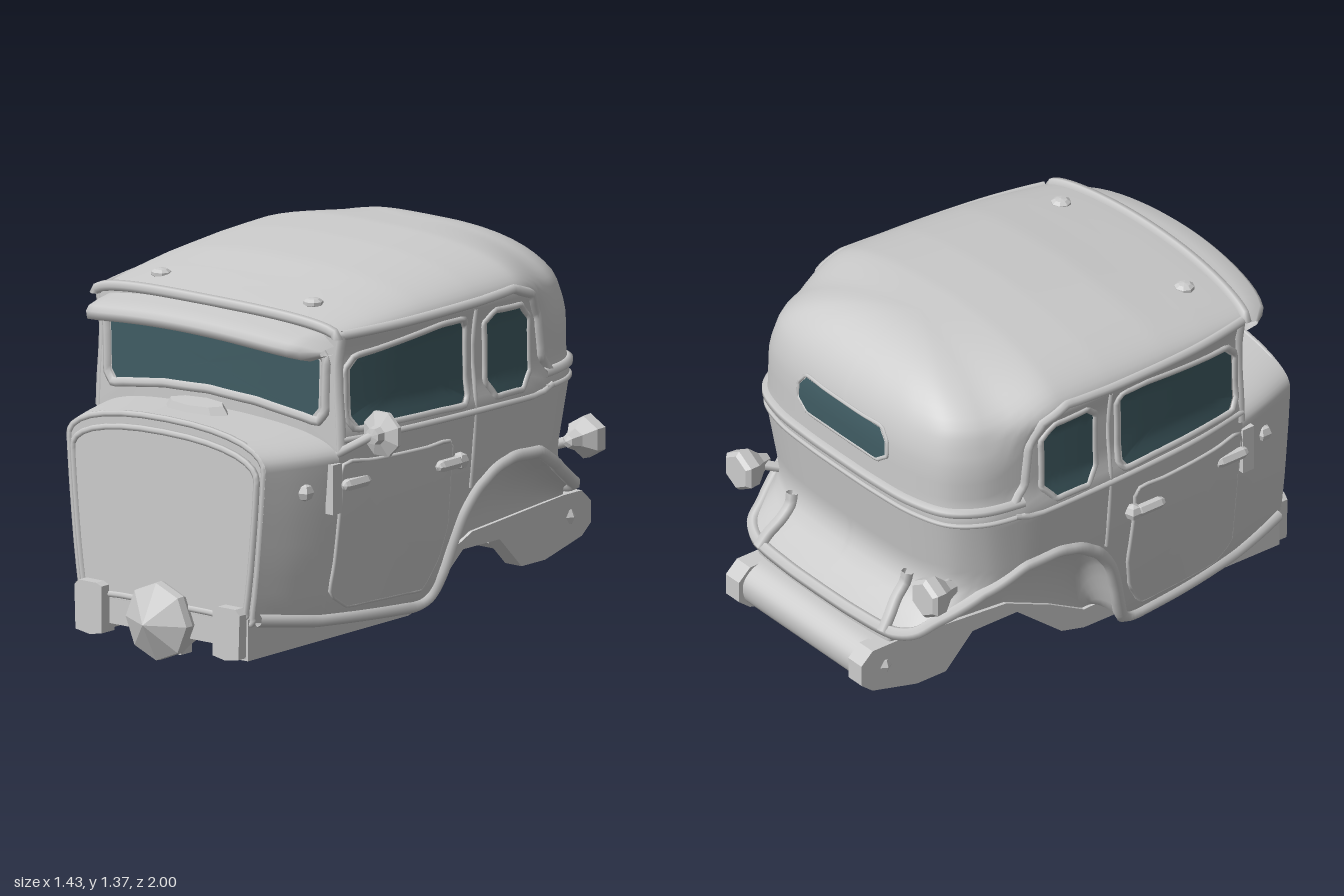
import * as THREE from 'three';
import { mergeGeometries, mergeVertices } from 'three/addons/utils/BufferGeometryUtils.js';

const V = (x, y, z) => new THREE.Vector3(x, y, z);
const step = THREE.MathUtils.smoothstep, mix = THREE.MathUtils.lerp;
const grey = new THREE.MeshStandardMaterial({ color: 0xcccccc, side: THREE.DoubleSide });
const facet = new THREE.MeshStandardMaterial({ color: 0xcccccc, side: THREE.DoubleSide, flatShading: true });
const glass = new THREE.MeshStandardMaterial({ color: 0x405c63, side: THREE.DoubleSide });

// piecewise linear table, keys ascending
function table(t, k) {
  if (k <= t[0][0]) return t[0][1];
  for (let i = 1; i < t.length; i++) {
    if (k <= t[i][0]) return mix(t[i - 1][1], t[i][1], (k - t[i - 1][0]) / (t[i][0] - t[i - 1][0]));
  }
  return t[t.length - 1][1];
}

// half plan outline, firewall to middle of the tail
const plan = new THREE.CatmullRomCurve3([[.465, .87], [.52, .72], [.56, .58], [.605, .35], [.628, .1], [.637, -.1], [.64, -.3],
  [.63, -.48], [.595, -.62], [.52, -.715], [.38, -.765], [.19, -.782], [0, -.785]].map(([x, z]) => V(x, 0, z)));
function solve(test) {
  let a = 0, b = 1;
  for (let i = 0; i < 30; i++) { const m = (a + b) / 2; if (test(plan.getPoint(m))) a = m; else b = m; }
  return (a + b) / 2;
}
const uAtZ = z => solve(p => p.z > z);
const uAtX = x => x < 0 ? 2 - uAtX(-x) : solve(p => p.z > -.4 || p.x > x);
const uPillar = uAtZ(.58);

const sideTaper = [[.1, .8], [.2, .87], [.4, .925], [.6, .965], [.84, 1], [.92, .97], [1.13, .965], [1.2, 1]];
const tailFlare = [[.36, -.1], [.41, -.065], [.46, -.02], [.52, .03], [.58, .042], [.85, 0]];
const hem = [[-.785, .36], [-.765, .365], [-.72, .41], [-.62, .515], [-.45, .595], [-.3, .605], [-.2, .58], [-.1, .51],
  [-.04, .42], [0, .3], [.04, .16], [.1, .12], [.6, .15], [.87, .19]];
const REAR = -.44;
const roofLine = [[REAR, 1.364], [-.29, 1.37], [-.07, 1.36], [.2, 1.333], [.4, 1.298], [.62, 1.25]];
const POWER = 2.3;
const eaves = z => 1.19 - .17 * step(-z, .3, .6);
const bow = k => .05 * (1 - k * k);
// the roof spine stops short of the tail, easing to a halt
const spineAt = z => REAR + (z - REAR + Math.hypot(z - REAR, .1)) / 2;
const crown = (z, cowl) => cowl ? .872 : table(roofLine, spineAt(z));

// point on the body skin at plan parameter u and height y
function skin(u, y, cowl = false) {
  const mirrored = u > 1, p = plan.getPoint(mirrored ? 2 - u : u);
  let x = p.x * table(sideTaper, y) * (1 + .12 * step(-p.z, .7, .765) * (1 - step(y, .37, .5)));
  let z = p.z + table(tailFlare, y) * step(-p.z, .4, .7);
  const base = cowl ? .74 : eaves(p.z);
  if (y > base) {
    const s = Math.min(1, (y - base) / (crown(p.z, cowl) - base)), c = Math.pow(Math.max(0, 1 - Math.pow(s, POWER)), 1 / POWER);
    x *= c;
    z = mix(spineAt(p.z), z, c);
    if (!cowl) z += bow(c) * step(p.z, .35, .58);
  }
  return V(mirrored ? -x : x, y, z);
}
function skinOut(u, y, off) {
  const t = skin(u + .004, y).sub(skin(u - .004, y));
  return skin(u, y).add(V(-t.z, 0, t.x).normalize().multiplyScalar(off));
}
const onSide = off => ([z, y]) => skinOut(uAtZ(z), y, off);
const onTail = off => ([x, y]) => skinOut(uAtX(x), y, off);
const onFront = off => ([x, y]) => V(x, y, .58 + off + bow(x / .57));

function grid(cols, rows, fn, flip) {
  const pos = [], idx = [];
  for (let i = 0; i <= cols; i++) for (let j = 0; j <= rows; j++) {
    const p = fn(i / cols, j / rows, i, j);
    pos.push(flip ? -p.x : p.x, p.y, p.z);
    if (i < cols && j < rows) {
      const a = i * (rows + 1) + j, b = a + rows + 1;
      if (flip) idx.push(a, a + 1, b, b, a + 1, b + 1); else idx.push(a, b, a + 1, b, b + 1, a + 1);
    }
  }
  const g = new THREE.BufferGeometry();
  g.setAttribute('position', new THREE.Float32BufferAttribute(pos, 3));
  return g.setIndex(idx);
}
function surface(cols, rows, fn, both = true) {
  let g = grid(cols, rows, fn, false);
  if (both) g = mergeVertices(mergeGeometries([g, grid(cols, rows, fn, true)]), 1e-4);
  g.computeVertexNormals();
  return g;
}
const dense = (o, closed = true, n = 4) => o.flatMap((p, i) => {
  if (!closed && i === o.length - 1) return [p];
  const q = o[(i + 1) % o.length];
  return Array.from({ length: n }, (_, k) => [mix(p[0], q[0], k / n), mix(p[1], q[1], k / n)]);
});
const centre = o => [0, 1].map(k => o.reduce((a, p) => a + p[k], 0) / o.length);
const grow = (o, s) => { const m = centre(o); return o.map(p => p.map((v, k) => m[k] + (v - m[k]) * s)); };
// filled outline draped on a surface
function patch(outline, map) {
  const o = dense(outline), m = centre(o);
  return surface(o.length, 6, (_, r, i) => map(o[i % o.length].map((v, k) => mix(m[k], v, r))), false);
}
const tube = (pts, r, closed = false) => new THREE.TubeGeometry(new THREE.CatmullRomCurve3(pts, closed), pts.length * 2, r, 6, closed);
const frame = (outline, map, r) => tube(dense(outline).map(map), r, true);
const strip = (outline, map, r) => tube(dense(outline, false).map(map), r);
const lathe = (profile, sides) => new THREE.LatheGeometry(profile.map(([r, z]) => new THREE.Vector2(r, z)), sides).rotateX(Math.PI / 2);
const box = (w, h, d, x, y, z) => new THREE.BoxGeometry(w, h, d).translate(x, y, z);

export function createModel() {
  const root = new THREE.Group();
  const add = (name, geo, mat = grey, parent = root) => {
    const m = new THREE.Mesh(geo, mat);
    m.name = name;
    parent.add(m);
    return m;
  };

  // main shells: sides, then rounded top
  const LOW = 10, MID = 14, TOP = 16;
  const shell = (u0, u1, cowl) => (s, _, i, j) => {
    const u = mix(u0, u1, s), z = plan.getPoint(u).z, b = table(hem, z);
    if (j <= LOW) return skin(u, mix(b, .74, j / LOW), cowl);
    const base = cowl ? .74 : eaves(z);
    if (j <= LOW + MID) return skin(u, mix(.74, base, (j - LOW) / MID), cowl);
    const a = (j - LOW - MID) / TOP * Math.PI / 2;
    return skin(u, mix(base, crown(z, cowl), Math.pow(Math.sin(a), 2 / POWER)), cowl);
  };
  add('cabinShell', surface(90, LOW + MID + TOP, shell(uPillar, 1, false)));
  add('cowlShell', surface(16, LOW + MID + TOP, shell(0, uPillar, true)));

  // underside: sill return and wheel wells
  const wellLine = [[-.785, .31], [-.6, .295], [-.35, .27], [-.2, .19], [-.1, .14], [0, .115], [.6, .14], [.87, .19]];
  add('wheelWellsAndSills', surface(110, 8, (s, r) => {
    const z = plan.getPoint(s).z, e = skin(s, table(hem, z)), a = r * Math.PI / 2;
    return V(mix(e.x, Math.min(.37, e.x), Math.sin(a)), mix(table(wellLine, z), e.y, Math.cos(a)), e.z);
  }));
  add('sillAndFenderMoulding', tube(Array.from({ length: 140 }, (_, i) => {
    const u = mix(.01, 1.99, i / 139), y = table(hem, plan.getPoint(u > 1 ? 2 - u : u).z);
    return skinOut(u, y + .01, -.002);
  }), .025));

  // firewall
  const half = [];
  for (let i = 0; i <= 14; i++) half.push(skin(0, i < 6 ? mix(.19, .74, i / 6) : mix(.74, .872, Math.sin((i - 6) / 8 * Math.PI / 2)), true));
  const wall = [...half.map(p => [p.x, p.y]), ...half.slice(0, -1).reverse().map(p => [-p.x, p.y])];
  const onWall = z => ([x, y]) => V(x, y, z);
  const inset = wall.map(([x, y]) => [x * .92, .2 + (y - .19) * .91]);
  add('firewall', patch(wall, onWall(.87)));
  add('firewallPanel', patch(inset, onWall(.878)));
  add('firewallRim', frame(inset, onWall(.876), .012));
  add('firewallEdge', frame(wall.map(([x, y]) => [x * .975, y - .006]), onWall(.864), .012));
  add('cowlVent', new THREE.CylinderGeometry(.12, .145, .035, 8).scale(1, 1, .45).rotateX(.06).translate(0, .883, .70), facet);

  // windscreen wall, glass, frame and header
  const arch = [];
  for (let i = 0; i <= 14; i++) arch.push(skin(uPillar, i < 4 ? mix(.78, 1.19, i / 4) : mix(1.19, crown(.58), Math.sin((i - 4) / 10 * Math.PI / 2))));
  const front = [...arch.map(p => [p.x, p.y]), ...arch.slice(0, -1).reverse().map(p => [-p.x, p.y])];
  const screen = [[.45, .9], [.2, .935], [0, .945], [-.2, .935], [-.45, .9], [-.475, .93], [-.48, 1.1], [-.455, 1.135],
    [-.2, 1.165], [0, 1.17], [.2, 1.165], [.455, 1.135], [.48, 1.1], [.475, .93]];
  add('windscreenWall', patch(front, onFront(0)));
  add('windscreen', patch(screen, onFront(.005)), glass);
  add('windscreenFrame', frame(screen.map(([x, y]) => [x * 1.05, 1.035 + (y - 1.035) * 1.13]), onFront(0), .019));
  add('roofHeader', tube(front.filter(p => p[1] > 1.18).map(onFront(.012)), .02));

  // sun visor
  const visorRing = [[0, 1.245], [.55, 1.232], [.9, 1.218], [1, 1.2], [.96, 1.17], [.6, 1.155], [0, 1.16], [0, 1.245]];
  add('sunVisor', surface(24, 7, (s, _, i, j) => {
    const k = s * 2 - 1, end = i === 0 || i === 24, [d, y] = visorRing[j];
    const z0 = .56 + bow(k), z1 = .8 - .06 * k * k - .05 * Math.pow(Math.abs(k), 8);
    return V(k * .535, (end ? mix(1.195, y, .35) : y) - .05 * k * k, mix(z0, z1, end ? d * .8 : d));
  }, false));

  // tail window and belt
  const tailWindow = [[.2, .985], [.25, 1.02], [.25, 1.075], [.22, 1.115], [-.22, 1.115], [-.25, 1.075], [-.25, 1.02], [-.2, .985]];
  add('tailWindow', patch(tailWindow, onTail(.005)), glass);
  add('tailWindowFrame', frame(grow(tailWindow, 1.05), onTail(0), .008));
  const uq = uAtZ(-.46);
  [[.885, .02], [.835, .01]].forEach(([y, r]) => add('tailBelt', tube(
    Array.from({ length: 40 }, (_, i) => skinOut(mix(uq, 2 - uq, i / 39), y, 0)), r)));

  // everything that comes in pairs
  const side = new THREE.Group();
  side.name = 'leftSide';
  const put = (n, g, m = grey) => add(n, g, m, side);
  const doorWindow = [[.525, .9], [.5, .865], [0, .865], [-.018, .89], [-.018, 1.13], [0, 1.155], [.1, 1.155], [.49, 1.105], [.525, 1.07]];
  const quarterWindow = [[-.145, .92], [-.185, .865], [-.32, .865], [-.37, .92], [-.37, 1.1], [-.32, 1.15], [-.185, 1.155], [-.145, 1.12]];
  for (const [n, o] of [['doorWindow', doorWindow], ['quarterWindow', quarterWindow]]) {
    put(n, patch(o, onSide(.004)), glass);
    put(n + 'Frame', frame(grow(o, 1.07), onSide(0), .013));
  }
  const doorPanel = [[.56, .73], [.05, .73], [.035, .42], [.06, .3], [.12, .2], [.49, .2], [.565, .25]];
  put('doorPanel', patch(doorPanel, onSide(.01)));
  put('doorPanelEdge', frame(doorPanel, onSide(.003), .008));
  put('doorGap', strip([[-.075, 1.19], [-.075, .54]], onSide(0), .008));
  put('beltLine', strip([[.57, .82], [-.43, .82], [-.5, .84]], onSide(0), .012));
  put('dripRail', strip([[.57, 1.2], [.3, 1.205], [-.1, 1.215], [-.28, 1.225], [-.38, 1.19], [-.43, 1.1], [-.45, .95], [-.5, .885]], onSide(0), .018));
  put('pillarMoulding', strip([[.57, .78], [.57, 1.2]], onSide(-.006), .02));
  put('hingeBlock', box(.035, .18, .05, .545, .65, .6), facet);
  const handle = (n, z, len, off) => {
    const p = onSide(off)([z, .66]);
    put(n, new THREE.CapsuleGeometry(.022, len, 2, 6).rotateX(Math.PI / 2).translate(p.x, p.y, p.z), facet);
  };
  handle('hingeHandle', .51, .1, .015);
  handle('doorHandle', .085, .09, .035);
  put('doorHandleKnob', new THREE.SphereGeometry(.032, 5, 4).translate(.64, .66, .02), facet);
  put('cowlLamp', new THREE.SphereGeometry(.033, 5, 4).translate(.505, .65, .71), facet);
  put('roofLamp', new THREE.SphereGeometry(.038, 8, 5).scale(1, .5, 1).translate(.35, 1.272, .48), facet);
  put('tailLamp', lathe([[0, -.84], [.065, -.84], [.08, -.825], [.077, -.785], [.04, -.74], [.024, -.7], [0, -.69]], 6).translate(.53, .58, 0), facet);
  put('tailLampStalk', tube([V(.47, .56, -.67), V(.53, .58, -.75)], .02));
  put('tailRib', tube([.56, .52, .47, .42, .37].map(y => skinOut(uAtX(.34), y, .012)), .024));

  // frame rail
  const railOutline = [[.88, .05], [0, .055], [-.1, .08], [-.3, .24], [-.5, .24], [-.62, .12], [-.75, .12], [-.95, .17], [-1, .21],
    [-1, .29], [-.95, .335], [-.85, .335], [-.6, .315], [-.35, .295], [-.15, .21], [0, .13], [.6, .15], [.85, .2], [.88, .2]];
  const extrude = (pts, depth) => new THREE.ExtrudeGeometry(new THREE.Shape(pts.map(p => new THREE.Vector2(...p))), { depth, bevelEnabled: false });
  put('frameRail', extrude(railOutline.map(([z, y]) => [-z, y]), .075).rotateY(Math.PI / 2).translate(.31, 0, 0), facet);
  put('frameHorn', extrude([[.255, .06], [.31, .05], [.375, .06], [.38, .22], [.36, .24], [.28, .24], [.255, .23]], .07).translate(0, 0, .85), facet);
  put('railBolt', new THREE.SphereGeometry(.035, 6, 4).translate(.365, .25, -.89), facet);
  root.add(side);
  const other = side.clone();
  other.name = 'rightSide';
  other.scale.x = -1;
  root.add(other);

  // floor and rolled tail pan between the rails
  const sheet = (pts, w) => {
    const c = new THREE.CatmullRomCurve3(pts.map(([z, y]) => V(0, y, z)));
    return surface(1, 30, (s, t) => c.getPoint(t).setX(mix(-w, w, s)), false);
  };
  add('floor', sheet([[.87, .18], [.4, .14], [0, .13], [-.15, .2], [-.35, .28], [-.6, .3], [-.87, .33]], .38));
  add('tailPan', sheet([[-.84, .335], [-.93, .33], [-.98, .28], [-.965, .2], [-.85, .15], [-.7, .14], [-.62, .18]], .32));
  add('frontCrossmember', box(.62, .11, .05, 0, .145, .85));
  add('rearCrossmember', box(.62, .04, .06, 0, .09, .27));

  // gearbox
  add('bellHousing', lathe([[.07, .6], [.1, .76], [.125, .85], [.143, .895], [.14, .925], [0, 1]], 8).translate(0, .143, 0), facet);
  add('gearbox', lathe([[0, .2], [.03, .2], [.03, .26], [.05, .3], [.05, .5], [.075, .62]], 8).translate(0, .12, 0), facet);
  add('gearboxFoot', box(.06, .06, .06, 0, .05, .27));
  add('bellHousingFoot', box(.07, .06, .06, 0, .04, .8));

  // mirror, left side only
  add('mirrorArm', tube([V(.54, .77, .57), V(.61, .81, .57), V(.685, .855, .55)], .017));
  add('mirror', lathe([[0, .495], [.085, .495], [.085, .51], [.035, .53], [.03, .56], [0, .565]], 8).rotateZ(Math.PI / 8).translate(.687, .853, 0), facet);

  root.position.x = -.055;
  const model = new THREE.Group();
  model.name = 'sedanBody';
  model.add(root);
  return model;
}
